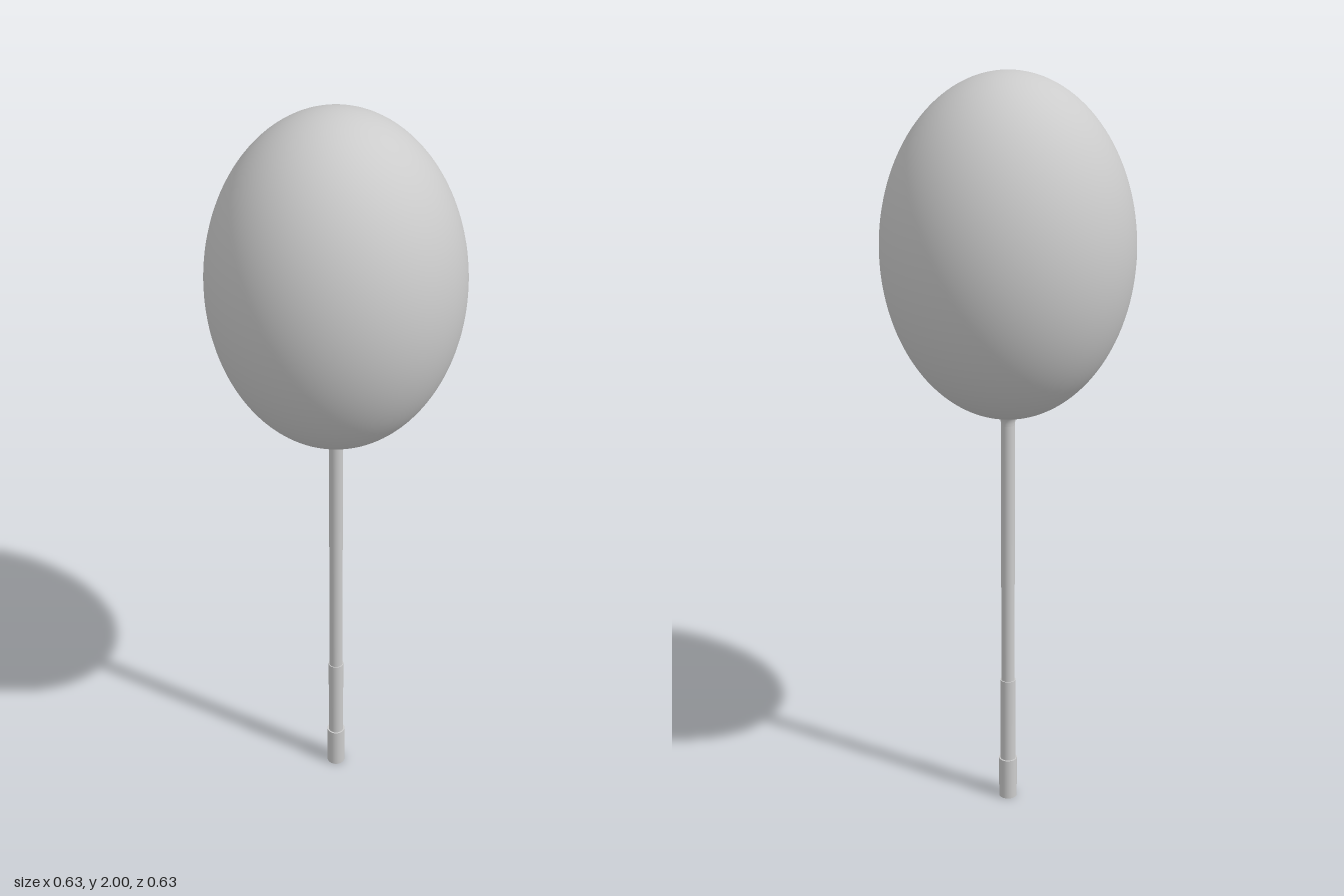
import * as THREE from 'three';

const material = new THREE.MeshStandardMaterial({ color: 0xcccccc });

function addMesh(group, name, geometry, y = 0) {
  const mesh = new THREE.Mesh(geometry, material);
  mesh.name = name;
  mesh.position.y = y;
  group.add(mesh);
}

// Upright cylinder standing between two heights
function addRod(group, name, radius, bottom, top) {
  const geometry = new THREE.CylinderGeometry(radius, radius, top - bottom, 32);
  addMesh(group, name, geometry, (bottom + top) / 2);
}

export function createModel() {
  const group = new THREE.Group();
  group.name = 'balloonOnStick';

  // Egg-shaped balloon
  const balloon = new THREE.SphereGeometry(1, 96, 64);
  balloon.scale(0.317, 0.433, 0.317);
  addMesh(group, 'balloon', balloon, 1.567);

  // Flared neck blending the balloon into the stick
  const neck = new THREE.SplineCurve([
    [0.018, 1.105], [0.0195, 1.118], [0.026, 1.13], [0.045, 1.14],
  ].map(([r, y]) => new THREE.Vector2(r, y)));
  addMesh(group, 'neck', new THREE.LatheGeometry(neck.getPoints(12), 48));

  // Stick thickening in two steps toward the foot
  addRod(group, 'stick', 0.018, 0.3, 1.15);
  addRod(group, 'sleeve', 0.0205, 0.1, 0.365);
  addRod(group, 'foot', 0.0245, 0, 0.12);

  return group;
}
